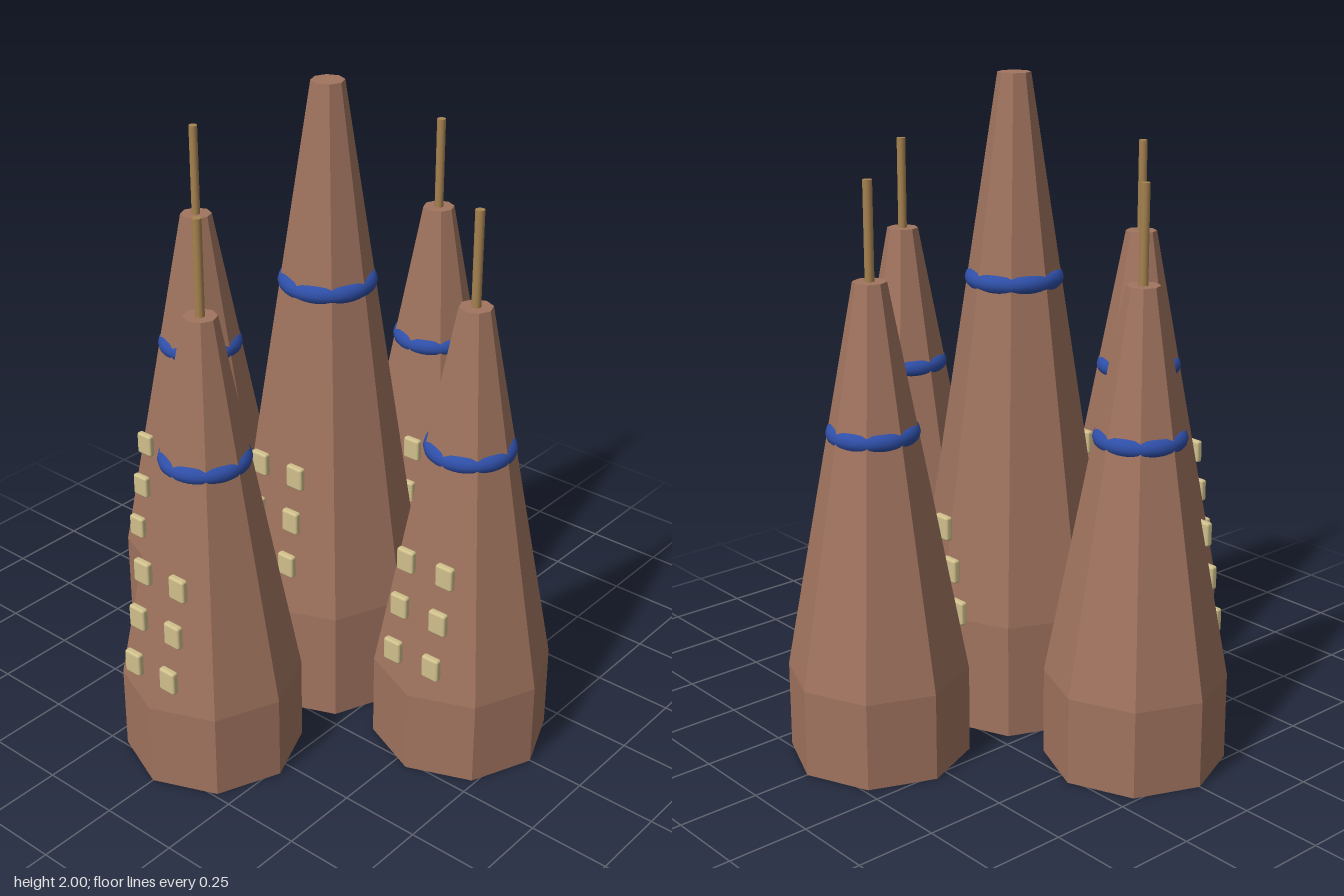
import * as THREE from 'three';
import { RoundedBoxGeometry } from 'three/addons/geometries/RoundedBoxGeometry.js';

const mat = (name, color, flatShading = false) => {
  const m = new THREE.MeshStandardMaterial({ color, flatShading });
  m.name = name;
  return m;
};

export function createModel() {
  const brown = mat('brown wall', 0xa1745f, true);
  const blue = mat('blue band', 0x2f4fa8);
  const cream = mat('cream window', 0xd0c08c);
  const tan = mat('tan pole', 0xa68250);

  const windowGeo = new RoundedBoxGeometry(0.06, 0.075, 0.024, 2, 0.008);

  const add = (parent, name, geo, material, x = 0, y = 0, z = 0) => {
    const mesh = new THREE.Mesh(geo, material);
    mesh.name = name;
    mesh.position.set(x, y, z);
    parent.add(mesh);
    return mesh;
  };

  function makeTower(name, { radius, shoulder, height, bandY, bandR, windowY, pole }) {
    const tower = new THREE.Group();
    tower.name = name;
    const topR = 0.05;

    // Eight-sided wall: straight foot, then a long taper to a flat top
    const profile = [[0, 0], [radius, 0], [radius, shoulder], [topR, height], [0, height]]
      .map(([r, y]) => new THREE.Vector2(r, y));
    add(tower, 'towerWall', new THREE.LatheGeometry(profile, 8), brown);

    // Round band half sunk into the wall
    const ring = new THREE.TorusGeometry(bandR - 0.03, 0.03, 12, 48).rotateX(Math.PI / 2);
    add(tower, 'band', ring, blue, 0, bandY, 0);

    // Two columns of three windows following the slope of the front
    const slope = (radius - topR) / (height - shoulder);
    for (let row = 0; row < 3; row++) {
      const y = windowY + row * 0.145;
      const z = radius - slope * (y - shoulder) + 0.005;
      for (const side of [-1, 1]) add(tower, 'window', windowGeo, cream, side * 0.071, y, z);
    }

    // Slim pole on top
    if (pole) {
      add(tower, 'pole', new THREE.CylinderGeometry(0.014, 0.014, 0.31, 12), tan, 0, height + 0.135, 0);
    }
    return tower;
  }

  const model = new THREE.Group();
  model.name = 'towerCluster';

  model.add(makeTower('centralTower', {
    radius: 0.3, shoulder: 0.36, height: 2, bandY: 1.387, bandR: 0.15, windowY: 0.54, pole: false,
  }));

  // Four smaller towers around the central one
  const d = 0.545;
  const spots = { leftTower: [d, 0], rightTower: [-d, 0], frontTower: [0, d], backTower: [0, -d] };
  for (const [name, [x, z]] of Object.entries(spots)) {
    const tower = makeTower(name, {
      radius: 0.273, shoulder: 0.27, height: 1.455, bandY: 1.01, bandR: 0.138, windowY: 0.395, pole: true,
    });
    tower.position.set(x, 0, z);
    model.add(tower);
  }
  return model;
}
